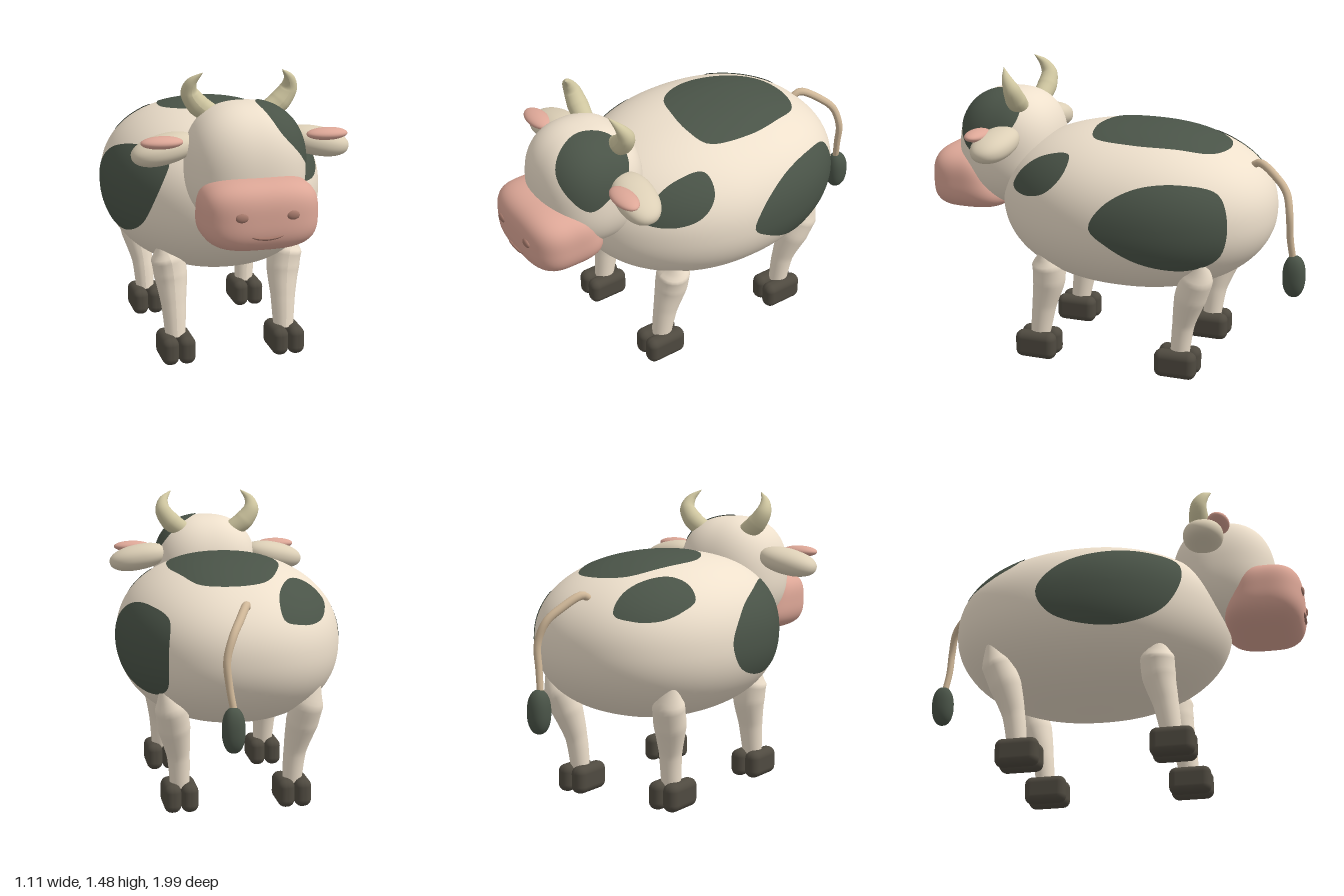
import * as THREE from 'three';
import { mergeVertices } from 'three/addons/utils/BufferGeometryUtils.js';
import { RoundedBoxGeometry } from 'three/addons/geometries/RoundedBoxGeometry.js';

const mat = (color) => new THREE.MeshStandardMaterial({ color });
const CREAM = mat(0xeee0cc), PINK = mat(0xdda797), NOSE = mat(0xa5796b), DARK = mat(0x4a5448);
const HOOF = mat(0x4f4a40), HORN = mat(0xcfc6a0), EAR = mat(0xdccfb6), TAIL = mat(0xcfb798);
DARK.side = THREE.DoubleSide;

const V = (p) => new THREE.Vector3(...p);
const add = (group, name, geometry, material, pos = [0, 0, 0]) => {
  const mesh = new THREE.Mesh(geometry, material);
  mesh.name = name;
  mesh.position.set(...pos);
  group.add(mesh);
  return mesh;
};

// Scale that puts a direction on the unit rounded ball of power n
const ballScale = (v, n) => Math.pow(Math.abs(v.x) ** n + Math.abs(v.y) ** n + Math.abs(v.z) ** n, -1 / n);

// Ball between an ellipsoid (n = 2) and a box, with an optional rule for each point
function roundedBall(r, n = 2, rule = null, detail = 64) {
  let g = new THREE.SphereGeometry(1, detail, detail * 0.75);
  g.deleteAttribute('uv');
  g.deleteAttribute('normal');
  g = mergeVertices(g, 1e-5);
  const p = g.attributes.position, v = new THREE.Vector3();
  for (let i = 0; i < p.count; i++) {
    v.fromBufferAttribute(p, i);
    v.multiplyScalar(ballScale(v, n)).multiply(V(r));
    if (rule) rule(v);
    p.setXYZ(i, v.x, v.y, v.z);
  }
  g.computeVertexNormals();
  return g;
}

// Tube along a smooth path whose radius follows a list
function taperedTube(points, radii, sides = 20) {
  const steps = 32, curve = new THREE.CatmullRomCurve3(points.map(V));
  const g = new THREE.TubeGeometry(curve, steps, 1, sides);
  const p = g.attributes.position, v = new THREE.Vector3();
  for (let i = 0; i <= steps; i++) {
    const c = curve.getPointAt(i / steps);
    const t = curve.getUtoTmapping(i / steps) * (radii.length - 1);
    const k = Math.min(Math.floor(t), radii.length - 2);
    const r = THREE.MathUtils.lerp(radii[k], radii[k + 1], t - k);
    for (let j = 0; j <= sides; j++) {
      const n = i * (sides + 1) + j;
      v.fromBufferAttribute(p, n).sub(c).multiplyScalar(r).add(c);
      p.setXYZ(n, v.x, v.y, v.z);
    }
  }
  g.computeVertexNormals();
  return g;
}

// Blob-shaped patch laid on a surface by a projecting function
function patch(outline, project) {
  const rings = 14, sides = 64, pos = [], index = [];
  const edge = new THREE.CatmullRomCurve3(outline.map(V), true).getSpacedPoints(sides);
  const centre = new THREE.Vector3();
  outline.forEach((p) => centre.addScaledVector(V(p), 1 / outline.length));
  for (let i = 0; i <= rings; i++)
    for (let j = 0; j < sides; j++) {
      const v = project(centre.clone().lerp(edge[j], i / rings));
      pos.push(v.x, v.y, v.z);
      if (i === rings) continue;
      const a = i * sides + j, b = i * sides + ((j + 1) % sides);
      index.push(a, a + sides, b + sides);
      if (i > 0) index.push(a, b + sides, b);
    }
  const g = new THREE.BufferGeometry();
  g.setAttribute('position', new THREE.Float32BufferAttribute(pos, 3));
  g.setIndex(index);
  g.computeVertexNormals();
  return g;
}

// Body: barrel narrowing a little to the chest
const BODY = { c: [0, 0.8, -0.1], r: [0.55, 0.41, 0.71], n: 2.2 };
const taper = (z) => 1 - 0.15 * Math.max(0, z / BODY.r[2]) ** 2;
const solve = (a, b) => Math.max(0, 1 - Math.abs(a) ** BODY.n - Math.abs(b) ** BODY.n) ** (1 / BODY.n);
const LIFT = 0.005;
const onSide = (sign) => (v) => {
  const z = v.z - BODY.c[2];
  v.x = sign * (BODY.r[0] * taper(z) * solve((v.y - BODY.c[1]) / BODY.r[1], z / BODY.r[2]) + LIFT);
  return v;
};
const onTop = (v) => {
  const z = v.z - BODY.c[2];
  v.y = BODY.c[1] + BODY.r[1] * solve(v.x / (BODY.r[0] * taper(z)), z / BODY.r[2]) + LIFT;
  return v;
};

// Head surface
const HEAD = { c: [0, 1.04, 0.585], r: [0.28, 0.3, 0.265], n: 2.4 };
const onHead = (v) => {
  v.sub(V(HEAD.c)).divide(V(HEAD.r));
  return v.multiplyScalar(ballScale(v, HEAD.n) * 1.015).multiply(V(HEAD.r)).add(V(HEAD.c));
};

const side = (list) => list.map(([z, y]) => [0, y, z]);
const top = (list) => list.map(([x, z]) => [x, 0, z]);

export function createModel() {
  const cow = new THREE.Group();
  cow.name = 'cow';

  add(cow, 'body', roundedBall(BODY.r, BODY.n, (v) => { v.x *= taper(v.z); }, 80), CREAM, BODY.c);

  // Dark patches on the coat
  add(cow, 'leftFlankPatch', patch(side([[-0.04, 0.8], [-0.1, 0.91], [-0.25, 1.0], [-0.45, 1.02], [-0.62, 0.97],
    [-0.67, 0.82], [-0.63, 0.66], [-0.5, 0.6], [-0.3, 0.63], [-0.13, 0.72]]), onSide(1)), DARK);
  add(cow, 'leftShoulderPatch', patch(side([[0.45, 0.91], [0.42, 0.98], [0.3, 1.07], [0.13, 1.1], [0.13, 1.03],
    [0.22, 0.93], [0.36, 0.89]]), onSide(1)), DARK);
  add(cow, 'rightShoulderPatch', patch(side([[0.38, 1.02], [0.41, 0.9], [0.33, 0.72], [0.15, 0.63], [-0.05, 0.63],
    [-0.22, 0.7], [-0.28, 0.82], [-0.17, 0.96], [0.03, 1.04], [0.24, 1.06]]), onSide(-1)), DARK);
  add(cow, 'rightRumpPatch', patch(top([[-0.42, -0.42], [-0.41, -0.52], [-0.36, -0.62], [-0.27, -0.7], [-0.17, -0.73],
    [-0.16, -0.66], [-0.2, -0.54], [-0.28, -0.42], [-0.36, -0.39]]), onTop), DARK);
  add(cow, 'backPatch', patch(top([[-0.24, -0.15], [-0.2, -0.4], [-0.11, -0.55], [0.05, -0.585], [0.19, -0.53],
    [0.26, -0.38], [0.3, -0.18], [0.26, 0.04], [0.14, 0.08], [0, 0.07], [-0.15, 0.02]]), onTop), DARK);

  // Head, eye patch and muzzle
  add(cow, 'head', roundedBall(HEAD.r, HEAD.n), CREAM, HEAD.c);
  add(cow, 'eyePatch', patch([[0.04, 1.33, 0.62], [0.06, 1.3, 0.72], [0.11, 1.22, 0.79], [0.19, 1.14, 0.79],
    [0.25, 1.05, 0.7], [0.27, 1.1, 0.6], [0.28, 1.18, 0.49], [0.25, 1.26, 0.45], [0.18, 1.32, 0.46],
    [0.09, 1.335, 0.52]], onHead), DARK);
  add(cow, 'muzzle', roundedBall([0.273, 0.166, 0.19], 3.2, (v) => {
    if (v.z < 0) v.z *= 1 - 2.2 * v.y; // back leans forward under the face
  }), PINK, [0, 0.875, 0.795]);
  add(cow, 'mouth', taperedTube([[-0.09, 0.808, 0.972], [-0.05, 0.798, 0.98], [0, 0.793, 0.98],
    [0.05, 0.798, 0.98], [0.09, 0.808, 0.972]], [0.001, 0.007, 0.009, 0.007, 0.001], 8), NOSE);

  for (const s of [1, -1]) {
    const label = s > 0 ? 'left' : 'right';
    const mx = (pts) => pts.map(([x, y, z]) => [s * x, y, z]);

    add(cow, label + 'Nostril', roundedBall([0.03, 0.021, 0.012], 2, null, 20), NOSE, [s * 0.118, 0.895, 0.98]);

    // Ears with pink inner pads
    const ear = add(cow, label + 'Ear', roundedBall([0.16, 0.068, 0.1], 2.2, null, 40), EAR, [s * 0.37, 1.12, 0.525]);
    ear.rotation.set(0, -s * 0.12, -s * 0.2);
    add(cow, label + 'InnerEar', roundedBall([0.1, 0.029, 0.055], 2, null, 32), PINK, [s * 0.397, 1.17, 0.605]);

    // Curved horns
    add(cow, label + 'Horn', taperedTube(mx([[0.14, 1.27, 0.49], [0.2, 1.315, 0.485], [0.24, 1.375, 0.49],
      [0.235, 1.425, 0.515], [0.19, 1.475, 0.55]]), [0.048, 0.052, 0.042, 0.026, 0.001]), HORN);

    // Legs
    add(cow, label + 'FrontLeg', taperedTube(mx([[0.335, 0.6, 0.285], [0.305, 0.52, 0.275], [0.29, 0.42, 0.28],
      [0.283, 0.28, 0.31], [0.28, 0.12, 0.335]]), [0.02, 0.085, 0.083, 0.062, 0.05]), CREAM);
    add(cow, label + 'BackLeg', taperedTube(mx([[0.37, 0.65, -0.545], [0.335, 0.54, -0.52], [0.315, 0.43, -0.48],
      [0.29, 0.28, -0.44], [0.28, 0.12, -0.42]]), [0.02, 0.078, 0.08, 0.056, 0.048]), CREAM);

    // Cloven hooves
    for (const [name, z] of [['FrontHoof', 0.343], ['BackHoof', -0.408]])
      for (const t of [-1, 1])
        add(cow, label + name, new RoundedBoxGeometry(0.084, 0.14, 0.215, 4, 0.038), HOOF,
          [s * 0.281 + t * 0.042, 0.07, z]);
  }

  // Tail with tuft
  add(cow, 'tail', taperedTube([[0.0, 1.035, -0.69], [0.01, 1.055, -0.73], [0.06, 1.0, -0.83], [0.1, 0.94, -0.89],
    [0.13, 0.84, -0.915], [0.12, 0.72, -0.92], [0.1, 0.6, -0.935]], [0.017, 0.02, 0.02, 0.019, 0.018, 0.017, 0.016]), TAIL);
  add(cow, 'tailTuft', roundedBall([0.053, 0.106, 0.056], 2.3, null, 32), DARK, [0.105, 0.525, -0.942]);

  return cow;
}
